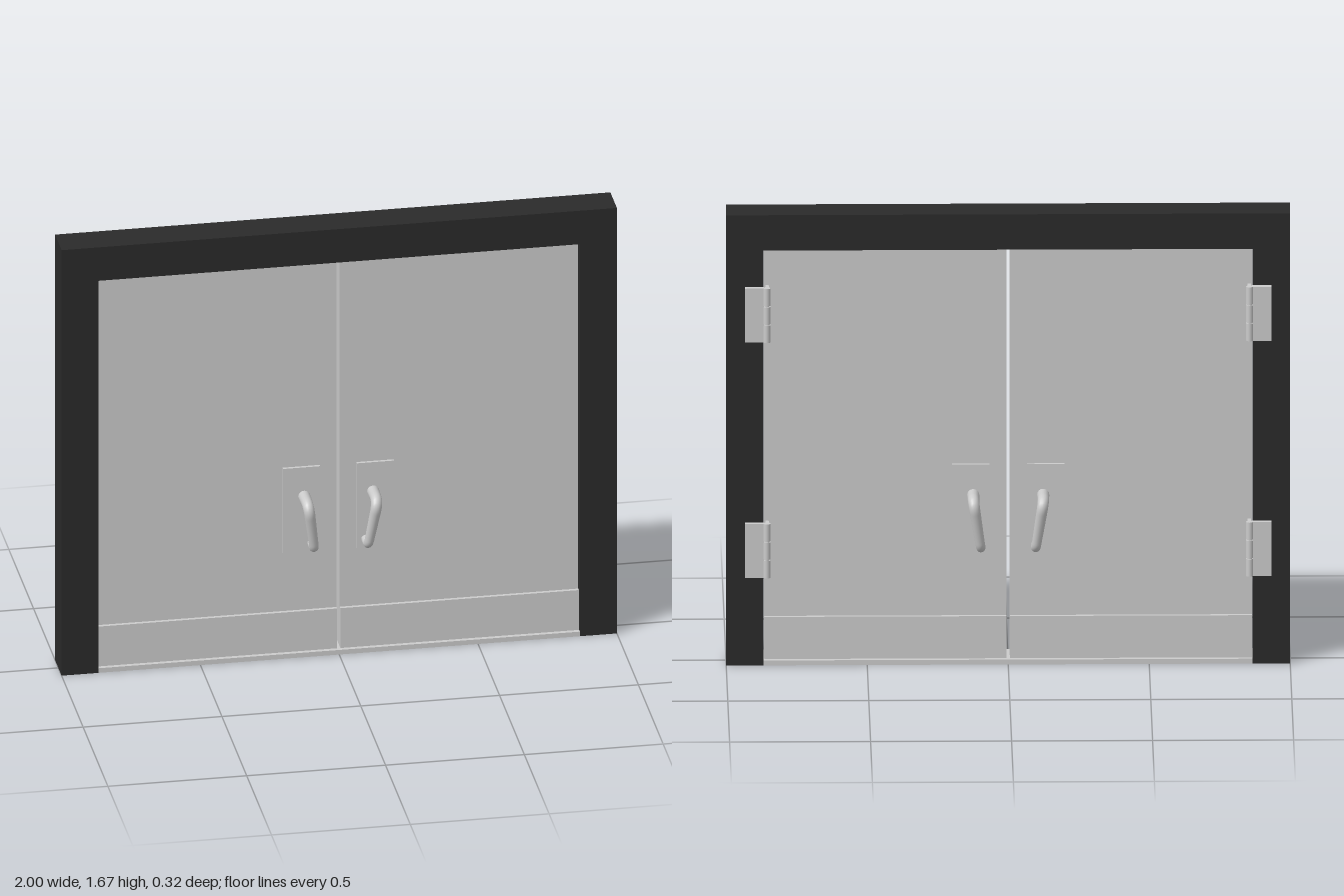
import * as THREE from 'three';

const grey = new THREE.MeshStandardMaterial({ color: 0xcccccc });
const dark = new THREE.MeshStandardMaterial({ color: 0x2a2a2a });

function add(parent, name, geometry, material = grey) {
  const mesh = new THREE.Mesh(geometry, material);
  mesh.name = name;
  parent.add(mesh);
  return mesh;
}

// Box given by its lower and upper corners
function box(parent, name, x0, x1, y0, y1, z0, z1, material) {
  const mesh = add(parent, name, new THREE.BoxGeometry(x1 - x0, y1 - y0, z1 - z0), material);
  mesh.position.set((x0 + x1) / 2, (y0 + y1) / 2, (z0 + z1) / 2);
  return mesh;
}

// Bent pull handle: a tube that thins from its upper to its lower end
function handleGeometry(sx, sz) {
  const p = ([x, y, z]) => new THREE.Vector3(x * sx, y, z * sz);
  const corners = [
    [0.124, 0.625, 0.04], [0.124, 0.625, 0.146],
    [0.097, 0.44, 0.108], [0.097, 0.44, 0.04],
  ].map(p);
  const path = new THREE.CurvePath();
  const bends = [0.045, 0.025];
  let from = corners[0];
  for (let i = 1; i <= 2; i++) {
    const c = corners[i], r = bends[i - 1];
    const a = c.clone().add(corners[i - 1].clone().sub(c).setLength(r));
    const b = c.clone().add(corners[i + 1].clone().sub(c).setLength(r));
    path.add(new THREE.LineCurve3(from, a));
    path.add(new THREE.QuadraticBezierCurve3(a, c, b));
    from = b;
  }
  path.add(new THREE.LineCurve3(from, corners[3]));

  const rings = 48, sides = 16, r0 = 0.022;
  const geo = new THREE.TubeGeometry(path, rings, r0, sides, false);
  const pos = geo.attributes.position, v = new THREE.Vector3();
  for (let i = 0; i < pos.count; i++) {
    const t = Math.floor(i / (sides + 1)) / rings;
    const centre = path.getPointAt(t);
    v.fromBufferAttribute(pos, i).sub(centre).multiplyScalar(1 - 0.3 * t).add(centre);
    pos.setXYZ(i, v.x, v.y, v.z);
  }
  return geo;
}

// Hinge: leaf on the frame, knuckled barrel and a narrow leaf to the door
function addHinge(parent, s, y) {
  const hinge = new THREE.Group();
  hinge.name = 'hinge';
  parent.add(hinge);
  const span = (a, b) => (s > 0 ? [a, b] : [-b, -a]);
  box(hinge, 'frameLeaf', ...span(0.866, 0.933), y - 0.1, y + 0.1, -0.086, -0.06);
  box(hinge, 'doorLeaf', ...span(0.849, 0.861), y - 0.1, y + 0.1, -0.08, -0.04);
  const knuckle = new THREE.CylinderGeometry(0.013, 0.013, 0.064, 16);
  for (let i = -1; i <= 1; i++) {
    add(hinge, 'knuckle', knuckle).position.set(0.856 * s, y + i * 0.068, -0.08);
  }
  add(hinge, 'pin', new THREE.CylinderGeometry(0.009, 0.009, 0.2, 12)).position.set(0.856 * s, y, -0.08);
}

export function createModel() {
  const model = new THREE.Group();
  model.name = 'doubleDoor';

  // Frame: two jambs and a head in one outline
  const outline = new THREE.Shape([
    [-1, 0], [-0.867, 0], [-0.867, 1.537], [0.867, 1.537],
    [0.867, 0], [1, 0], [1, 1.668], [-1, 1.668],
  ].map(([x, y]) => new THREE.Vector2(x, y)));
  const frame = new THREE.ExtrudeGeometry(outline, { depth: 0.132, bevelEnabled: false });
  add(model, 'frame', frame.translate(0, 0, -0.066), dark);

  box(model, 'threshold', -0.867, 0.867, 0, 0.018, -0.066, 0.066);

  for (const s of [-1, 1]) {
    const door = new THREE.Group();
    door.name = s > 0 ? 'leftDoor' : 'rightDoor';
    model.add(door);
    const span = (a, b) => (s > 0 ? [a, b] : [-b, -a]);
    box(door, 'doorPanel', ...span(0.006, 0.865), 0.02, 1.535, -0.042, 0.042);

    // Fittings on both faces
    for (const f of [-1, 1]) {
      const depth = (a, b) => (f > 0 ? [a, b] : [-b, -a]);
      box(door, 'kickPlate', ...span(0.006, 0.865), 0.02, 0.176, ...depth(0.042, 0.055));
      box(door, 'handlePlate', ...span(0.066, 0.2), 0.405, 0.738, ...depth(0.042, 0.053));
      add(door, 'handle', handleGeometry(s, f));
    }

    for (const y of [0.43, 1.302]) addHinge(door, s, y);
  }
  return model;
}
